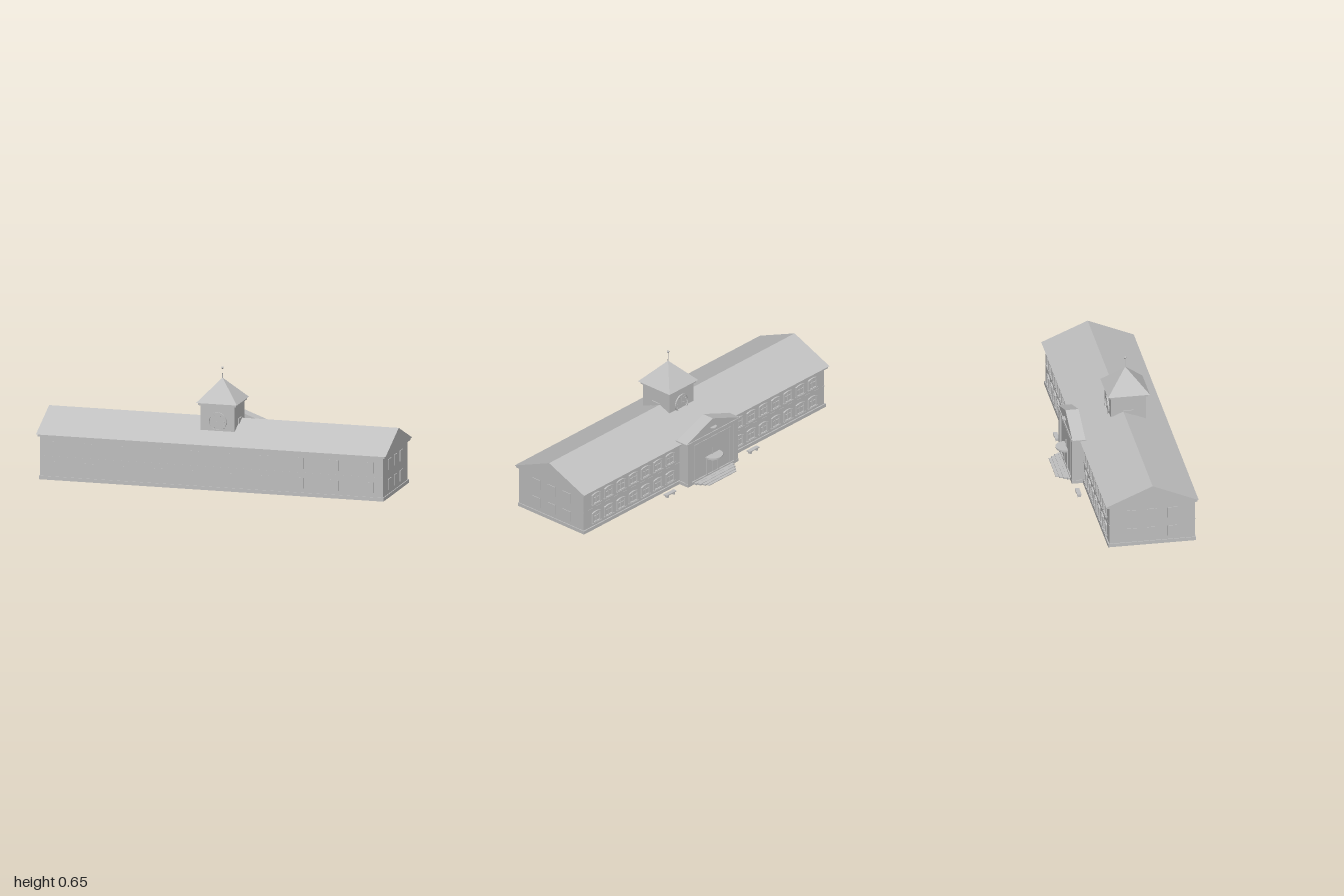
import * as THREE from 'three';

export function createModel() {
  const stone = new THREE.MeshStandardMaterial({ color: 0xc0c0c0 });
  stone.name = 'pale stone';
  const root = new THREE.Group();
  root.name = 'longHall';

  const add = (name, geo, parent = root) => {
    const m = new THREE.Mesh(geo, stone);
    m.name = name;
    parent.add(m);
    return m;
  };
  // box given by its minimum and maximum on each axis
  const box = (name, x0, x1, y0, y1, z0, z1, parent = root) => {
    const m = add(name, new THREE.BoxGeometry(x1 - x0, y1 - y0, z1 - z0), parent);
    m.position.set((x0 + x1) / 2, (y0 + y1) / 2, (z0 + z1) / 2);
    return m;
  };
  const extrude = (shape, depth) =>
    new THREE.ExtrudeGeometry(shape, { depth, bevelEnabled: false, curveSegments: 12 });
  const triangle = (a, b, top, y0, y1) =>
    new THREE.Shape([[a, y0], [b, y0], [top, y1]].map(p => new THREE.Vector2(...p)));

  // main body
  box('plinth', -0.985, 0.985, 0, 0.02, -0.185, 0.305);
  box('walls', -0.98, 0.98, 0.02, 0.245, -0.178, 0.3);
  box('cornice', -0.993, 0.993, 0.241, 0.254, -0.193, 0.311);
  const roof = add('mainRoof', extrude(triangle(-0.317, 0.199, -0.06, 0.2535, 0.363), 2));
  roof.rotation.y = Math.PI / 2;
  roof.position.x = -1;
  box('frontStringCourse', -0.98, 0.98, 0.128, 0.133, 0.299, 0.301);
  box('backStringCourse', -0.98, 0.98, 0.128, 0.133, -0.179, -0.177);

  // plain window plates on the ends and the front
  for (const y of [0.043, 0.155]) {
    for (const s of [-1, 1]) {
      for (const z of [0.172, 0.06, -0.053]) {
        box('endWindow', s * 0.981 - 0.003, s * 0.981 + 0.003, y, y + 0.06, z - 0.028, z + 0.028);
      }
    }
    for (let i = 0; i < 10; i++) {
      const x = -0.9 + i * 0.2;
      box('frontWindow', x - 0.028, x + 0.028, y, y + 0.06, 0.299, 0.302);
    }
  }

  // shallow arched window frame with glazing bars, facing the back
  const archOutline = (Path, w, h, rise) => {
    const p = new Path();
    p.moveTo(-w, 0);
    p.lineTo(w, 0);
    p.lineTo(w, h);
    p.quadraticCurveTo(0, h + 2 * rise, -w, h);
    p.lineTo(-w, 0);
    return p;
  };
  const frameShape = archOutline(THREE.Shape, 0.035, 0.061, 0.007);
  const hole = archOutline(THREE.Path, 0.027, 0.05, 0.006);
  hole.curves.forEach(c => ['v0', 'v1', 'v2'].forEach(k => c[k] && (c[k] = c[k].clone().add(new THREE.Vector2(0, 0.006)))));
  frameShape.holes.push(hole);
  const frameGeo = extrude(frameShape, 0.009);
  for (const s of [-1, 1]) {
    for (let i = 0; i < 7; i++) {
      for (const y of [0.04, 0.154]) {
        const win = new THREE.Group();
        win.name = 'backWindow';
        add('windowFrame', frameGeo, win);
        box('mullion', -0.002, 0.002, 0.005, 0.062, 0, 0.005, win);
        box('transom', -0.028, 0.028, 0.036, 0.039, 0, 0.005, win);
        box('sill', -0.038, 0.038, -0.003, 0.003, 0, 0.012, win);
        win.rotation.y = Math.PI;
        win.position.set(s * (0.28 + i * 0.1), y, -0.178);
        root.add(win);
      }
    }
  }

  // clock tower
  const tower = new THREE.Group();
  tower.name = 'clockTower';
  tower.position.z = 0.088;
  root.add(tower);
  box('towerWalls', -0.098, 0.098, 0.28, 0.452, -0.098, 0.098, tower);
  box('towerCornice', -0.108, 0.108, 0.449, 0.463, -0.108, 0.108, tower);
  const cap = new THREE.ConeGeometry(0.117 * Math.SQRT2, 0.125, 4, 1).toNonIndexed();
  cap.rotateY(Math.PI / 4);
  cap.computeVertexNormals();
  add('towerRoof', cap, tower).position.y = 0.5255;
  add('spireBase', new THREE.CylinderGeometry(0.0015, 0.0025, 0.035, 10), tower).position.y = 0.595;
  add('spire', new THREE.CylinderGeometry(0.001, 0.0015, 0.045, 8), tower).position.y = 0.622;
  add('spireBall', new THREE.SphereGeometry(0.007, 14, 10), tower).position.y = 0.644;
  for (const s of [-1, 1]) {
    box('towerSideWindow', s * 0.1 - 0.004, s * 0.1 + 0.004, 0.31, 0.37, -0.028, 0.028, tower);
    const clock = new THREE.Group();
    clock.name = 'clock';
    const dial = add('dial', new THREE.CylinderGeometry(0.05, 0.05, 0.004, 32), clock);
    dial.rotation.x = Math.PI / 2;
    const rim = new THREE.Shape().absarc(0, 0, 0.053, 0, Math.PI * 2);
    rim.holes.push(new THREE.Path().absarc(0, 0, 0.046, 0, Math.PI * 2));
    add('rim', extrude(rim, 0.008), clock);
    for (let i = 0; i < 12; i++) {
      const a = i * Math.PI / 6;
      const tick = add('hourMark', new THREE.BoxGeometry(0.003, 0.008, 0.003), clock);
      tick.position.set(0.039 * Math.sin(a), 0.039 * Math.cos(a), 0.003);
      tick.rotation.z = -a;
    }
    box('minuteHand', -0.0015, 0.0015, -0.004, 0.036, 0, 0.006, clock);
    box('hourHand', -0.004, 0.024, -0.002, 0.002, 0, 0.005, clock);
    clock.position.set(0, 0.362, s * 0.098);
    if (s < 0) clock.rotation.y = Math.PI;
    tower.add(clock);
  }

  // entrance block with pediment on the back
  const entrance = new THREE.Group();
  entrance.name = 'entrance';
  root.add(entrance);
  box('entrancePlinth', -0.206, 0.206, 0, 0.018, -0.247, -0.17, entrance);
  box('entranceWalls', -0.2, 0.2, 0.018, 0.262, -0.24, -0.17, entrance);
  box('entranceCornice', -0.217, 0.217, 0.264, 0.27, -0.25, -0.165, entrance);
  box('architrave', -0.203, 0.203, 0.25, 0.264, -0.246, -0.17, entrance);
  add('pediment', extrude(triangle(-0.215, 0.215, 0, 0.27, 0.35), 0.073), entrance).position.z = -0.245;
  for (const s of [-1, 1]) {
    box('cornerPilaster', s * 0.187 - 0.016, s * 0.187 + 0.016, 0.018, 0.25, -0.246, -0.222, entrance);
    box('panelEdge', s * 0.14 - 0.004, s * 0.14 + 0.004, 0.018, 0.235, -0.243, -0.239, entrance);
    box('doorJamb', s * 0.046 - 0.005, s * 0.046 + 0.005, 0.01, 0.115, -0.246, -0.239, entrance);
    box('doorLeaf', s * 0.021 - 0.019, s * 0.021 + 0.019, 0.01, 0.112, -0.242, -0.239, entrance);
  }
  box('panelTop', -0.144, 0.144, 0.232, 0.238, -0.243, -0.239, entrance);
  box('doorHead', -0.051, 0.051, 0.11, 0.116, -0.246, -0.239, entrance);
  box('overdoorBar', -0.002, 0.002, 0.129, 0.17, -0.245, -0.239, entrance);
  // half-round canopy slabs over the door and a small disc on the pediment
  for (const [name, r, y, h] of [['canopyTop', 0.058, 0.126, 0.006], ['canopyUnderside', 0.051, 0.117, 0.005],
    ['pedimentDisc', 0.023, 0.3, 0.004]]) {
    add(name, new THREE.CylinderGeometry(r, r, h, 32), entrance).position.set(0, y, -0.243);
  }

  // entrance steps
  for (const [w, y, z] of [[0.155, 0.0105, -0.262], [0.143, 0.0095, -0.282], [0.127, 0.007, -0.302], [0.112, 0.004, -0.319]]) {
    box('step', -w, w, 0, y, z, -0.235, entrance);
  }

  // benches either side of the entrance
  for (const s of [-1, 1]) {
    const bench = new THREE.Group();
    bench.name = 'bench';
    bench.position.set(s * 0.338, 0, -0.235);
    box('seat', -0.04, 0.04, 0.014, 0.02, -0.012, 0.012, bench);
    for (const x of [-0.026, 0.026]) box('benchLeg', x - 0.005, x + 0.005, 0, 0.014, -0.009, 0.009, bench);
    root.add(bench);
  }
  return root;
}
